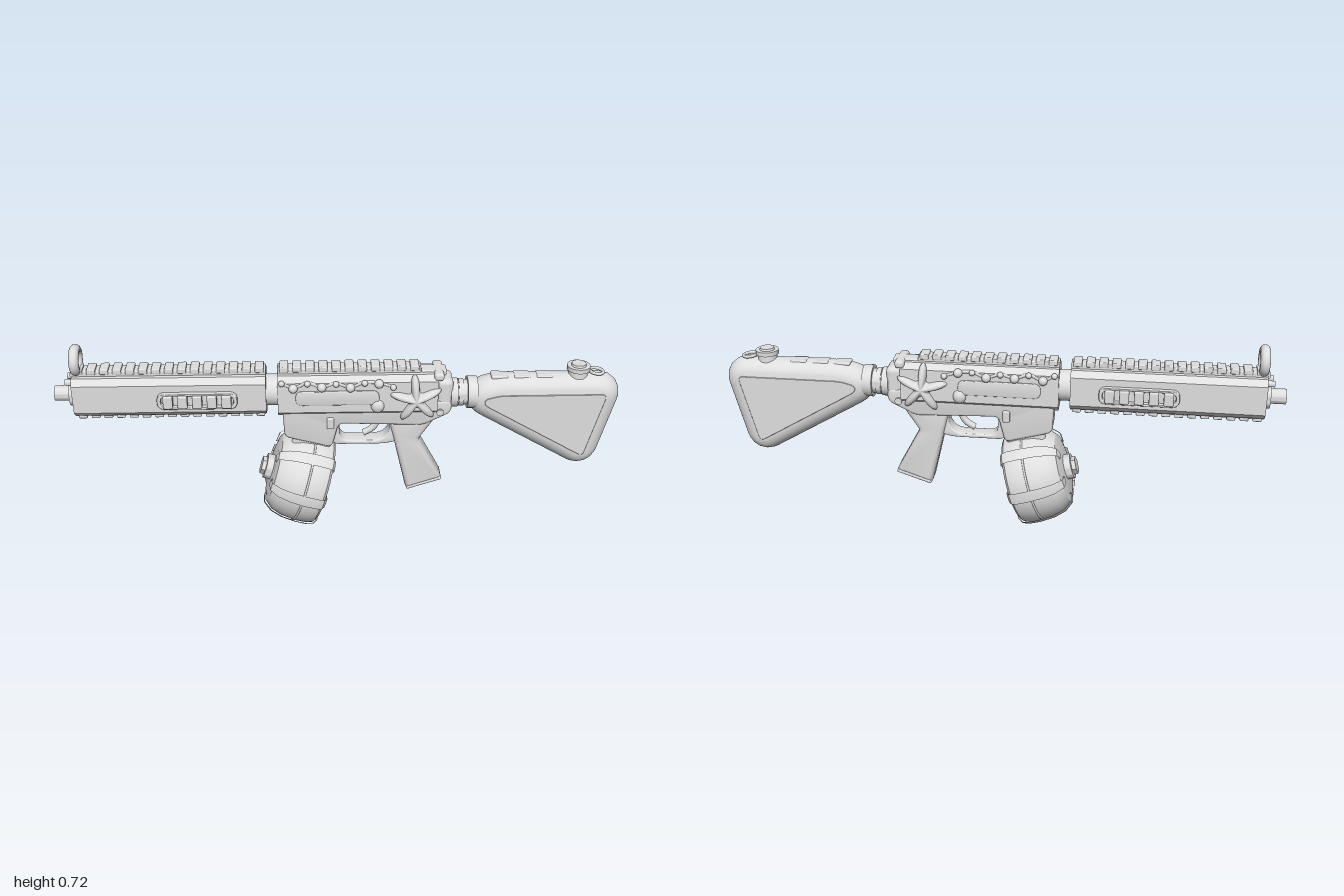
import * as THREE from 'three';
import { toCreasedNormals } from 'three/addons/utils/BufferGeometryUtils.js';
import { RoundedBoxGeometry } from 'three/addons/geometries/RoundedBoxGeometry.js';

const grey = new THREE.MeshStandardMaterial({ color: 0xdedede, side: THREE.DoubleSide });
grey.name = 'light grey';

export function createModel() {
  const model = new THREE.Group();
  model.name = 'toyBlaster';

  const add = (name, geo, x = 0, y = 0, z = 0, parent = model) => {
    const m = new THREE.Mesh(geo, grey);
    m.name = name;
    m.position.set(x, y, z);
    parent.add(m);
    return m;
  };
  const box = (w, h, d, r = 0.006) => new RoundedBoxGeometry(w, h, d, 2, r);
  // cylinder lying along x
  const rod = (r1, r2, len, n = 32) =>
    toCreasedNormals(new THREE.CylinderGeometry(r1, r2, len, n).rotateZ(Math.PI / 2), 0.7);

  // polygon with each corner softened by distance r
  const trace = (path, pts, r) => {
    const v = pts.map(p => new THREE.Vector2(...p));
    v.forEach((p, i) => {
      const a = v[(i + v.length - 1) % v.length], b = v[(i + 1) % v.length];
      const toward = q => p.clone().add(q.clone().sub(p).setLength(Math.min(r, p.distanceTo(q) * 0.45)));
      const s = toward(a), e = toward(b);
      if (i) path.lineTo(s.x, s.y); else path.moveTo(s.x, s.y);
      path.quadraticCurveTo(p.x, p.y, e.x, e.y);
    });
    path.closePath();
    return path;
  };
  // bevelled side-profile plate, total half thickness "half"
  const plate = (pts, half, { bevel = 0.01, round = 0.02, hole, offset = -bevel, steps = 3 } = {}) => {
    const shape = trace(new THREE.Shape(), pts, round);
    if (hole) shape.holes.push(trace(new THREE.Path(), hole, round));
    const geo = new THREE.ExtrudeGeometry(shape, {
      depth: 2 * (half - bevel), bevelEnabled: true, bevelThickness: bevel, bevelSize: bevel,
      bevelOffset: offset, bevelSegments: steps, curveSegments: 6,
    });
    geo.translate(0, 0, bevel - half);
    return toCreasedNormals(geo, 0.6);
  };
  // chamfered bar along x from a half-width and vertical extent
  const bar = (x0, x1, y0, y1, hz, c) => {
    const s = new THREE.Shape([[-hz, y0 + c], [-hz + c, y0], [hz - c, y0], [hz, y0 + c],
      [hz, y1 - c], [hz - c, y1], [-hz + c, y1], [-hz, y1 - c]].map(p => new THREE.Vector2(...p)));
    return new THREE.ExtrudeGeometry(s, { depth: x1 - x0, bevelEnabled: false })
      .rotateY(Math.PI / 2).translate(x0, 0, 0);
  };
  // toothed accessory rail along x
  const rail = (name, x0, x1, y, dir) => {
    const g = new THREE.Group();
    g.name = name;
    model.add(g);
    add('railBase', box(x1 - x0, 0.026, 0.05, 0.004), (x0 + x1) / 2, y + dir * 0.002, 0, g);
    const n = Math.round((x1 - x0) / 0.045), pitch = (x1 - x0) / n;
    for (let i = 0; i < n; i++)
      add('railTooth', box(pitch * 0.68, 0.02, 0.058, 0.004), x0 + (i + 0.5) * pitch, y + dir * 0.013, 0, g);
  };

  // barrel and handguard
  add('muzzle', rod(0.027, 0.027, 0.1), -0.95, 0.545);
  add('handguard', bar(-0.93, -0.255, 0.475, 0.622, 0.063, 0.021));
  add('handguardNose', rod(0.045, 0.045, 0.02), -0.935, 0.545);
  add('collar', rod(0.056, 0.056, 0.08), -0.235, 0.548);
  rail('handguardTopRail', -0.93, -0.255, 0.626, 1);
  rail('handguardBottomRail', -0.93, -0.255, 0.478, -1);
  rail('receiverRail', -0.215, 0.29, 0.626, 1);

  // front ring sight on a short stem
  add('ringSight', new THREE.TorusGeometry(0.038, 0.0175, 16, 40).rotateY(Math.PI / 2), -0.914, 0.675);
  add('ringSightStem', new THREE.CylinderGeometry(0.02, 0.028, 0.03, 24), -0.914, 0.632);
  for (const s of [1, -1]) add('nosePin', rod(0.011, 0.011, 0.03, 16), -0.94, 0.6, s * 0.025);

  // upper and lower receiver
  add('upperReceiver', bar(-0.215, 0.35, 0.465, 0.622, 0.06, 0.02));
  add('lowerReceiver', plate([[-0.2, 0.51], [-0.195, 0.378], [-0.025, 0.332], [0, 0.43],
    [0.3, 0.42], [0.4, 0.47], [0.4, 0.52]], 0.052));
  add('triggerGuard', plate([[-0.05, 0.46], [-0.03, 0.333], [0.18, 0.333], [0.25, 0.36], [0.25, 0.46]], 0.03,
    { bevel: 0.005, round: 0.035, hole: [[0, 0.435], [0.005, 0.348], [0.155, 0.348], [0.185, 0.385], [0.178, 0.435]] }));
  add('trigger', new THREE.TubeGeometry(new THREE.QuadraticBezierCurve3(new THREE.Vector3(0.135, 0.44, 0),
    new THREE.Vector3(0.15, 0.39, 0), new THREE.Vector3(0.09, 0.365, 0)), 12, 0.012, 10));
  add('grip', plate([[0.17, 0.47], [0.2, 0.35], [0.248, 0.143], [0.38, 0.187], [0.29, 0.355],
    [0.34, 0.43], [0.36, 0.48]], 0.043, { bevel: 0.018, round: 0.012 }));
  const gripCap = add('gripCap', box(0.135, 0.014, 0.082), 0.314, 0.166);
  gripCap.rotation.z = 0.32;

  // rear of the receiver and charging handle
  add('rearBlock', box(0.06, 0.13, 0.1, 0.02), 0.375, 0.535);
  add('chargingHandle', box(0.09, 0.022, 0.05), 0.335, 0.618);
  add('chargingHandleBar', box(0.035, 0.03, 0.12, 0.012), 0.352, 0.616);
  for (const [x, r, w] of [[0.41, 0.052, 0.025], [0.45, 0.045, 0.12], [0.435, 0.049, 0.018], [0.475, 0.058, 0.035]])
    add('stockTube', rod(r, r, w), x, 0.528);

  // stock with fully rounded edges and flat side panels
  const stockCore = [[0.517, 0.527], [0.57, 0.541], [0.948, 0.541], [0.886, 0.288], [0.517, 0.505]];
  add('stock', plate(stockCore, 0.06, { bevel: 0.059, round: 0.03, offset: 0, steps: 10 }));
  add('stockSidePanels', plate(stockCore, 0.0615, { bevel: 0.0015, round: 0.02, offset: 0, steps: 1 }));
  for (const x of [0.57, 0.65, 0.73]) {
    const ridge = add('stockRidge', box(0.06, 0.014, 0.05), x, 0.593);
    ridge.rotation.z = -0.05;
  }
  add('stockKnobBase', new THREE.CylinderGeometry(0.033, 0.035, 0.03, 32), 0.85, 0.605);
  add('stockKnob', toCreasedNormals(new THREE.CylinderGeometry(0.041, 0.041, 0.016, 32), 0.7), 0.85, 0.622);
  add('stockKnobTop', new THREE.CylinderGeometry(0.025, 0.028, 0.014, 32), 0.85, 0.631);
  const loop = add('stockKnobLoop', new THREE.TorusGeometry(0.024, 0.006, 8, 28).rotateX(Math.PI / 2), 0.915, 0.606);
  loop.rotation.z = -0.1;

  // drum magazine, tilted forward
  const drum = new THREE.Group();
  drum.name = 'drumMagazine';
  drum.position.set(-0.15, 0.192, 0);
  drum.rotation.z = -0.295;
  model.add(drum);
  const lathe = (pts, n, start = 0, len = Math.PI * 2) => toCreasedNormals(new THREE.LatheGeometry(
    pts.map(p => new THREE.Vector2(...p)), n, start, len).rotateZ(-Math.PI / 2), 0.5);
  add('drumShell', lathe([[0, -0.1], [0.09, -0.1], [0.125, -0.092], [0.15, -0.065], [0.165, -0.025], [0.172, 0.03],
    [0.171, 0.07], [0.165, 0.09], [0.152, 0.1], [0.143, 0.1], [0.142, 0.09], [0, 0.09]], 48), 0, 0, 0, drum);
  for (const deg of [0, 52, 128, 180, 232, 308])
    add('drumClamp', lathe([[0.1, -0.09], [0.1, -0.105], [0.132, -0.099], [0.158, -0.068], [0.172, -0.025],
      [0.178, 0.03], [0.177, 0.075], [0.171, 0.095], [0.156, 0.105], [0.134, 0.105], [0.134, 0.088]], 5,
    THREE.MathUtils.degToRad(deg) - 0.12, 0.24), 0, 0, 0, drum);
  add('drumSeam', new THREE.TorusGeometry(0.17, 0.004, 8, 48).rotateY(Math.PI / 2), 0.02, 0, 0, drum);
  add('drumHub', rod(0.046, 0.046, 0.03, 32), -0.11, 0, 0, drum);
  add('drumHubNut', rod(0.033, 0.033, 0.03, 6), -0.125, 0, 0, drum);
  add('magazineNeck', box(0.14, 0.14, 0.088, 0.015), 0.005, 0.165, 0, drum);

  // domed five-armed starfish from a half sphere with a lobed outline
  const starfish = s => {
    const geo = new THREE.SphereGeometry(1, 80, 10, 0, Math.PI * 2, 0, Math.PI / 2).rotateX(Math.PI / 2);
    const p = geo.attributes.position;
    for (let i = 0; i < p.count; i++) {
      const a = Math.atan2(p.getY(i), s * p.getX(i)) - 1.65;
      const r = 0.032 + 0.064 * Math.pow((1 + Math.cos(5 * a)) / 2, 2);
      p.setXYZ(i, p.getX(i) * r, p.getY(i) * r, p.getZ(i) * 0.038);
    }
    geo.computeVertexNormals();
    return geo;
  };

  // details repeated on both sides
  const slot = (w, h) => [[-w, -h], [w, -h], [w, h], [-w, h]];
  for (const s of [1, -1]) {
    const side = new THREE.Group();
    side.name = s > 0 ? 'frontSideDetails' : 'backSideDetails';
    side.rotation.y = s > 0 ? 0 : Math.PI;
    model.add(side);
    // handguard vent: rounded frame with ribs
    add('ventFrame', plate(slot(0.14, 0.031), 0.012, { bevel: 0.004, round: 0.03, hole: slot(0.127, 0.022) }),
      s * -0.495, 0.545, 0.068, side);
    for (let i = 0; i < 5; i++)
      add('ventRib', box(0.034, 0.05, 0.03), s * (-0.597 + i * 0.051), 0.545, 0.073, side);
    // receiver panel
    add('receiverPanel', plate(slot(0.147, 0.028), 0.008, { bevel: 0.003, round: 0.025 }),
      s * -0.005, 0.543, 0.057, side);
    add('starfish', starfish(s), s * 0.272, 0.533, 0.053, side);
    // shell beside the starfish
    const shell = add('shell', new THREE.SphereGeometry(0.024, 20, 14), s * 0.137, 0.507, 0.056, side);
    shell.scale.set(1, 1.1, 0.8);
    // pearl string hung under the rail
    const curve = new THREE.CatmullRomCurve3([[-0.2, 0.605], [-0.16, 0.585], [-0.11, 0.603], [-0.06, 0.588],
      [-0.01, 0.6], [0.04, 0.586], [0.09, 0.603], [0.14, 0.6], [0.19, 0.585]]
      .map(([x, y]) => new THREE.Vector3(s * x, y, 0.058)));
    add('pearlString', new THREE.TubeGeometry(curve, 60, 0.006, 8), 0, 0, 0, side);
    for (let i = 0; i < 9; i++) {
      const q = curve.getPoint(i / 8);
      add('pearl', new THREE.SphereGeometry(i % 2 ? 0.016 : 0.011, 16, 12), q.x, q.y, 0.066, side);
    }
    // magazine release and rear pin
    add('magazineRelease', box(0.026, 0.045, 0.02), s * -0.03, 0.436, 0.05, side);
    add('receiverPin', new THREE.CylinderGeometry(0.013, 0.013, 0.02, 20).rotateX(Math.PI / 2),
      s * 0.36, 0.475, 0.048, side);
  }
  return model;
}
